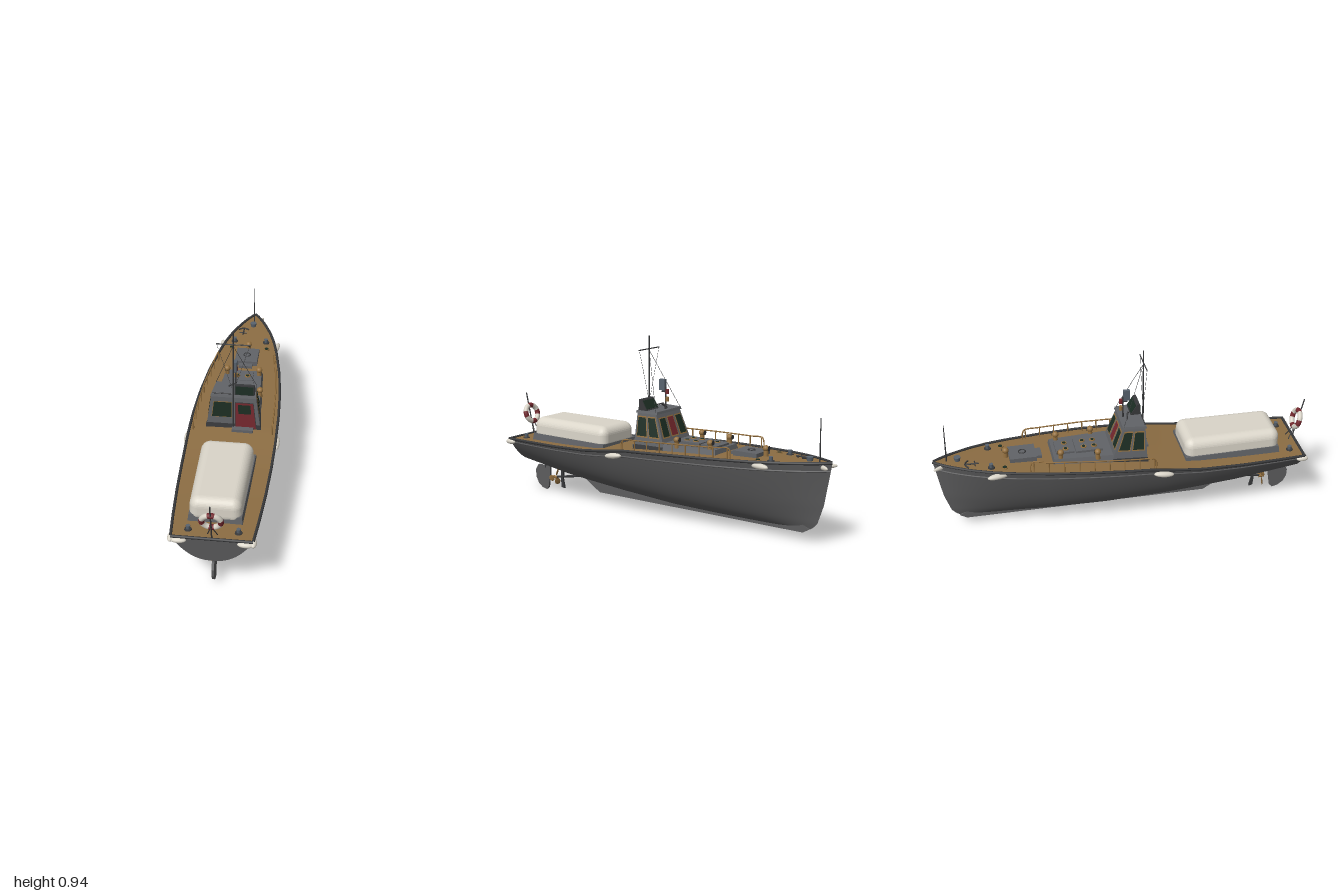
import * as THREE from 'three';
import { RoundedBoxGeometry } from 'three/addons/geometries/RoundedBoxGeometry.js';

const paint = (name, color, side = THREE.FrontSide) => {
  const m = new THREE.MeshStandardMaterial({ color, side });
  m.name = name;
  return m;
};
const V = (x, y, z) => new THREE.Vector3(x, y, z);

// Linear lookup in [z, value] pairs ordered from stern to bow
function lookup(table, z) {
  for (let i = 1; i < table.length; i++) {
    const [z0, a] = table[i - 1], [z1, b] = table[i];
    if (z >= z1) return a + (b - a) * Math.min(1, Math.max(0, (z0 - z) / (z0 - z1)));
  }
  return table[table.length - 1][1];
}
const BEAM = [[0.95, 0.195], [0.8, 0.207], [0.6, 0.219], [0.4, 0.226], [0.2, 0.229], [0, 0.226], [-0.2, 0.215], [-0.4, 0.194], [-0.6, 0.16], [-0.7, 0.137], [-0.8, 0.105], [-0.9, 0.06], [-0.96, 0.025], [-0.99, 0.003]];
const SHEER = [[0.95, 0.318], [0.6, 0.324], [0.38, 0.333], [0.25, 0.347], [0.1, 0.367], [-0.2, 0.382], [-0.6, 0.398], [-0.99, 0.415]];
const KEEL = [[0.95, 0.175], [0.6, 0.13], [0.2, 0.1], [-0.14, 0.075], [-0.5, 0.065], [-0.99, 0.06]];
const FULLNESS = [[0.95, 0.42], [0.2, 0.36], [-0.4, 0.42], [-0.99, 0.6]];
const STEM = [[1, -0.99], [0.4, -0.95], [0.12, -0.915], [0.04, -0.885], [0, -0.85]];
const beam = z => lookup(BEAM, z), sheer = z => lookup(SHEER, z);

// Point on the hull skin: z is the station at deck level, t runs -1 (right edge) to 1 (left edge)
function hullPoint(z, t) {
  const v = Math.abs(t) ** 2.5, u = (0.95 - z) / 1.94, k = lookup(KEEL, z);
  const stern = 0.935 + 0.015 * v;
  return V(Math.sign(t) * beam(z) * v ** lookup(FULLNESS, z), k + (sheer(z) - k) * v, stern + (lookup(STEM, v) - stern) * u);
}

// Surface through rows of points
function loft(rows, flip) {
  const n = rows[0].length, idx = [];
  for (let i = 0; i < rows.length - 1; i++) for (let j = 0; j < n - 1; j++) {
    const a = i * n + j, b = a + 1, c = a + n, d = c + 1;
    idx.push(...(flip ? [a, b, c, b, d, c] : [a, c, b, b, c, d]));
  }
  const g = new THREE.BufferGeometry().setFromPoints(rows.flat());
  g.setIndex(idx);
  g.computeVertexNormals();
  return g;
}

// Box whose ends differ: [half width aft, half width forward, z aft, z forward]
function block(bottom, top, y0, y1) {
  const g = new THREE.BoxGeometry(2, 2, 2), p = g.attributes.position;
  for (let i = 0; i < p.count; i++) {
    const r = p.getY(i) > 0 ? top : bottom, f = p.getZ(i) > 0 ? 0 : 1;
    p.setXYZ(i, p.getX(i) * r[f], p.getY(i) > 0 ? y1 : y0, r[2 + f]);
  }
  g.computeVertexNormals();
  return g;
}

export function createModel() {
  const boat = new THREE.Group();
  boat.name = 'boat';
  const hullGrey = paint('hullGrey', 0x5c5c5d), deckTan = paint('deckTan', 0x8c6d43), cabinGrey = paint('cabinGrey', 0x616367);
  const trim = paint('darkTrim', 0x38393b), canvas = paint('canvasWhite', 0xdad5c9), brass = paint('brass', 0x94703f, THREE.DoubleSide);
  const glass = paint('darkGlass', 0x1c2d23, THREE.DoubleSide), red = paint('red', 0x75282e, THREE.DoubleSide), steel = paint('steelBlue', 0x59636e);

  const add = (name, geo, mat, x = 0, y = 0, z = 0, rx = 0, ry = 0, rz = 0, parent = boat) => {
    const m = new THREE.Mesh(geo, mat);
    m.name = name;
    m.position.set(x, y, z);
    m.rotation.set(rx, ry, rz);
    parent.add(m);
    return m;
  };
  const box = (name, w, h, d, mat, ...at) => add(name, new THREE.BoxGeometry(w, h, d), mat, ...at);
  const post = (name, r0, r1, h, mat, x, y, z) => add(name, new THREE.CylinderGeometry(r0, r1, h, 14), mat, x, y + h / 2, z);
  const rod = (name, a, b, r, mat) => {
    const m = add(name, new THREE.CylinderGeometry(r, r, a.distanceTo(b), 8), mat);
    m.position.copy(a).lerp(b, 0.5);
    m.quaternion.setFromUnitVectors(V(0, 1, 0), b.clone().sub(a).normalize());
  };
  const tube = (name, pts, r, mat) => add(name, new THREE.TubeGeometry(new THREE.CatmullRomCurve3(pts), 80, r, 6), mat);
  const ball = (name, sx, sy, sz, mat, ...at) => add(name, new THREE.SphereGeometry(1, 18, 12), mat, ...at).scale.set(sx, sy, sz);
  const range = (n, f) => Array.from({ length: n + 1 }, (_, i) => f(i / n));

  // Hull, transom and deck
  const stations = range(48, u => 0.95 - 1.94 * u);
  add('hull', loft(stations.map(z => range(40, t => hullPoint(z, t * 2 - 1)))), hullGrey);
  add('transom', loft(range(20, t => [hullPoint(0.95, -t), hullPoint(0.95, t)]), true), hullGrey);
  add('deck', loft(stations.map(z => [-1, 0, 1].map(s => V(s * beam(z), sheer(z) + (s ? 0 : 0.003), z))), true), deckTan);
  for (const s of [-1, 1]) {
    tube('toeRail', stations.map(z => V(s * beam(z), sheer(z) + 0.003, z)), 0.0075, trim);
    tube('rubbingStrake', stations.map(z => hullPoint(z, s * 0.955)), 0.005, hullGrey);
  }
  rod('sternRail', V(-0.195, 0.321, 0.95), V(0.195, 0.321, 0.95), 0.0075, trim);

  // Keel, propeller and rudder
  const plate = (name, pts, thick, mat) => {
    const g = new THREE.ExtrudeGeometry(new THREE.Shape(pts.map(p => new THREE.Vector2(...p))), { depth: thick, bevelEnabled: false });
    return add(name, g.translate(0, 0, -thick / 2), mat, 0, 0, 0, 0, -Math.PI / 2);
  };
  plate('keel', [[0.59, 0.135], [0.45, 0.05], [-0.84, 0.05], [-0.875, 0.07], [-0.84, 0.09], [0.2, 0.13]], 0.022, hullGrey);
  plate('rudder', [[0.82, 0.143], [0.91, 0.143], [0.93, 0.11], [0.928, 0.07], [0.91, 0.035], [0.88, 0.012], [0.85, 0.005], [0.835, 0.02], [0.83, 0.05], [0.822, 0.1]], 0.012, hullGrey);
  post('rudderStock', 0.007, 0.007, 0.06, trim, 0, 0.13, 0.855);
  plate('shaftBracket', [[0.72, 0.165], [0.745, 0.165], [0.738, 0.12], [0.74, 0.08], [0.735, 0.035], [0.715, 0.03], [0.726, 0.08], [0.724, 0.12]], 0.012, trim);
  rod('propellerShaft', V(0, 0.085, 0.8), V(0, 0.125, 0.55), 0.006, trim);
  const prop = new THREE.Group();
  prop.name = 'propeller';
  prop.position.set(0, 0.085, 0.785);
  boat.add(prop);
  add('propellerHub', new THREE.CylinderGeometry(0.008, 0.01, 0.03, 12), brass, 0, 0, 0, Math.PI / 2, 0, 0, prop);
  for (let i = 0; i < 3; i++) {
    const arm = new THREE.Group();
    arm.rotation.z = i * Math.PI * 2 / 3;
    prop.add(arm);
    add('propellerBlade', new THREE.SphereGeometry(1, 14, 10), brass, 0.031, 0, 0, 0.45, 0, 0, arm).scale.set(0.021, 0.017, 0.003);
  }

  // Fenders
  for (const s of [-1, 1]) {
    ball('sideFender', 0.018, 0.015, 0.054, canvas, s * 0.231, 0.335, 0.175, 0.13);
    ball('forwardFender', 0.018, 0.015, 0.06, canvas, s * 0.148, 0.385, -0.67, 0.04, -s * 0.26);
    ball('bowFender', 0.01, 0.012, 0.045, canvas, s * 0.026, 0.395, -0.952, 0.04, -s * 0.55);
    ball('sternFender', 0.04, 0.014, 0.018, canvas, s * 0.16, 0.304, 0.952);
    ball('cornerFender', 0.015, 0.014, 0.032, canvas, s * 0.197, 0.306, 0.938);
  }

  // Canvas-covered hold
  add('holdCoaming', block([0.133, 0.147, 0.83, 0.31], [0.128, 0.141, 0.825, 0.315], 0.318, 0.358), cabinGrey);
  const cover = new RoundedBoxGeometry(0.27, 0.13, 0.515, 5, 0.045);
  const cp = cover.attributes.position;
  for (let i = 0; i < cp.count; i++) cp.setX(i, cp.getX(i) * (1 - 0.12 * (cp.getZ(i) + 0.25)) * (1 - 0.9 * Math.max(0, cp.getY(i) - 0.01)));
  cover.computeVertexNormals();
  add('holdCover', cover, canvas, 0, 0.382, 0.573);

  // Wheelhouse
  const B = [0.143, 0.125, 0.108, -0.085], T = [0.116, 0.102, 0.1, -0.01], y0 = 0.358, y1 = 0.558;
  add('wheelhouse', block(B, T, y0, y1), cabinGrey);
  add('wheelhouseSkirt', block([0.147, 0.129, 0.113, -0.091], [0.142, 0.124, 0.108, -0.084], 0.355, 0.392), trim);
  add('wheelhouseRoof', block([0.12, 0.107, 0.108, -0.02], [0.117, 0.104, 0.105, -0.017], 0.555, 0.568), cabinGrey);
  const corner = (r, y, s, f) => V(s * r[f], y, r[2 + f]);
  const wall = (sa, fa, sb, fb) => [corner(B, y0, sa, fa), corner(B, y0, sb, fb), corner(T, y1, sb, fb), corner(T, y1, sa, fa)];
  const pane = (name, q, [u0, u1, v0, v1], off, mat) => {
    const n = q[1].clone().sub(q[0]).cross(q[3].clone().sub(q[0])).normalize();
    const at = (u, v) => q[0].clone().lerp(q[1], u).lerp(q[3].clone().lerp(q[2], u), v).addScaledVector(n, off);
    add(name, loft([[at(u0, v0), at(u1, v0)], [at(u0, v1), at(u1, v1)]], true), mat);
  };
  const framed = (name, q, [u0, u1, v0, v1], mat, frame = brass, e = 0.025) => {
    pane(name + 'Frame', q, [u0 - e, u1 + e, v0 - e * 1.2, v1 + e * 1.2], 0.002, frame);
    pane(name, q, [u0, u1, v0, v1], 0.004, mat);
  };
  const back = wall(-1, 0, 1, 0), front = wall(1, 1, -1, 1), leftWall = wall(1, 0, 1, 1), rightWall = wall(-1, 1, -1, 0);
  framed('rearWindow', back, [0.08, 0.46, 0.38, 0.82], glass, brass, 0.012);
  framed('door', back, [0.54, 0.92, 0.06, 0.82], red, trim, 0.012);
  pane('doorWindow', back, [0.6, 0.86, 0.5, 0.77], 0.006, glass);
  for (const [a, m] of [[0.07, glass], [0.39, red], [0.71, glass]]) framed('frontWindow', front, [a, a + 0.22, 0.4, 0.86], m);
  for (const [a, b] of [[0.09, 0.45], [0.56, 0.9]]) {
    framed('leftWindow', leftWall, [a, b, 0.4, 0.88], glass, brass, 0.03);
    framed('rightWindow', rightWall, [1 - b, 1 - a, 0.4, 0.88], glass, brass, 0.03);
  }
  box('doorStep', 0.11, 0.022, 0.035, cabinGrey, 0.05, 0.368, 0.125);

  // Roof fittings
  add('roofScreen', block([0.052, 0.052, 0.1, 0.045], [0.052, 0.052, 0.096, 0.082], 0.565, 0.625), trim, 0.056);
  box('roofScreenGlass', 0.092, 0.046, 0.004, glass, 0.056, 0.595, 0.099, -0.06);
  box('roofScreenFrontGlass', 0.092, 0.05, 0.004, glass, 0.056, 0.596, 0.0635, 0.55);
  rod('roofRail', V(-0.11, 0.573, 0.1), V(-0.01, 0.573, 0.1), 0.003, trim);
  rod('hornArm', V(-0.035, 0.568, 0.02), V(0, 0.592, 0.03), 0.004, trim);
  post('lampPost', 0.004, 0.005, 0.12, trim, 0, 0.565, 0.005);
  box('lampArm', 0.008, 0.008, 0.035, trim, 0, 0.66, 0.01);
  box('signalBoard', 0.018, 0.058, 0.034, steel, 0, 0.695, 0.024);
  for (const y of [0.61, 0.65]) post('signalLamp', 0.01, 0.01, 0.022, y > 0.63 ? red : brass, 0, y, -0.006);

  // Mast and rigging
  post('mast', 0.003, 0.005, 0.585, trim, 0, 0.36, 0.112);
  rod('yard', V(-0.086, 0.876, 0.112), V(0.086, 0.876, 0.112), 0.003, trim);
  for (const s of [-1, 1]) {
    rod('stay', V(0, 0.868, 0.112), V(s * 0.105, 0.568, -0.01), 0.0011, trim);
    rod('halyard', V(s * 0.084, 0.876, 0.112), V(s * 0.008, 0.62, 0.112), 0.0008, trim);
  }
  post('bowStaff', 0.002, 0.004, 0.225, trim, 0, 0.405, -0.92);

  // Stern staff with lifebuoy
  rod('sternStaff', V(0, 0.325, 0.945), V(0, 0.55, 0.997), 0.0035, trim);
  for (const s of [-1, 1]) rod('staffLeg', V(s * 0.024, 0.322, 0.915), V(0, 0.405, 0.96), 0.0025, trim);
  const buoy = new THREE.Group();
  buoy.name = 'lifebuoy';
  buoy.position.set(0, 0.435, 0.958);
  buoy.rotation.x = 0.3;
  boat.add(buoy);
  for (let i = 0; i < 8; i++) {
    const arc = i % 2 ? 0.95 : Math.PI / 2 - 0.95, start = Math.floor(i / 2) * Math.PI / 2 + (i % 2 ? -0.475 + Math.PI / 4 : -arc / 2);
    add('lifebuoySegment', new THREE.TorusGeometry(0.046, 0.014, 10, 8, arc), i % 2 ? canvas : red, 0, 0, 0, 0, 0, start, buoy);
  }

  // Side handrails
  for (const s of [-1, 1]) {
    const at = (z, h) => V(s * (beam(z) - 0.022), sheer(z) + h, z);
    const zs = range(8, u => 0.13 - 0.62 * u);
    tube('handrail', [at(0.14, 0), at(0.138, 0.045), ...zs.map(z => at(z - 0.005, 0.058)), at(-0.505, 0.04), at(-0.507, 0)], 0.0035, brass);
    zs.forEach(z => rod('stanchion', at(z, 0), at(z, 0.056), 0.003, brass));
  }

  // Forward coachroof with portlights
  add('coachroof', block([0.13, 0.11, -0.07, -0.385], [0.118, 0.098, -0.07, -0.375], 0.375, 0.415), cabinGrey);
  box('rearSkylight', 0.13, 0.014, 0.14, cabinGrey, 0, 0.42, -0.185);
  box('frontSkylight', 0.115, 0.012, 0.095, cabinGrey, 0, 0.419, -0.31);
  for (const [z, y] of [[-0.305, 0.424], [-0.21, 0.426], [-0.155, 0.426]]) for (const s of [-1, 1]) {
    post('portlightRim', 0.015, 0.016, 0.005, brass, s * 0.028, y, z);
    post('portlightGlass', 0.009, 0.009, 0.002, glass, s * 0.028, y + 0.005, z);
  }

  // Cowl vents
  const cowl = (x, y, z) => {
    post('ventPipe', 0.011, 0.013, 0.042, brass, x, y, z);
    ball('ventCowl', 0.017, 0.016, 0.017, brass, x, y + 0.042, z);
    add('ventMouth', new THREE.CircleGeometry(0.013, 14), trim, x, y + 0.043, z - 0.018, 0, Math.PI);
  };
  for (const s of [-1, 1]) {
    cowl(s * 0.088, 0.405, -0.34);
    cowl(s * 0.112, 0.4, -0.15);
  }
  cowl(0, 0.398, -0.615);

  // Fore hatch, capstan, bollards and anchor
  box('foreHatch', 0.125, 0.03, 0.14, cabinGrey, 0, 0.406, -0.53);
  box('hatchStep', 0.075, 0.018, 0.03, cabinGrey, 0, 0.4, -0.445);
  add('hatchRing', new THREE.TorusGeometry(0.018, 0.003, 6, 20), trim, 0, 0.422, -0.53, Math.PI / 2);
  post('capstan', 0.018, 0.014, 0.025, steel, 0, 0.408, -0.865);
  const bollard = (x, z) => {
    post('bollardBase', 0.017, 0.019, 0.006, trim, x, sheer(z), z);
    post('bollard', 0.011, 0.009, 0.02, steel, x, sheer(z) + 0.005, z);
  };
  for (const s of [-1, 1]) {
    bollard(s * 0.09, -0.7);
    bollard(s * 0.12, 0.89);
    post('deckPlate', 0.016, 0.017, 0.006, brass, s * 0.1, 0.399, -0.632);
    post('deckPlateLid', 0.011, 0.011, 0.002, glass, s * 0.1, 0.405, -0.632);
  }
  rod('anchorShank', V(-0.05, 0.414, -0.83), V(-0.05, 0.414, -0.76), 0.004, trim);
  rod('anchorStock', V(-0.072, 0.414, -0.78), V(-0.028, 0.414, -0.78), 0.003, trim);
  add('anchorArms', new THREE.TorusGeometry(0.036, 0.004, 6, 16, 2.2), trim, -0.05, 0.414, -0.794, -Math.PI / 2, 0, 0.47);
  return boat;
}
